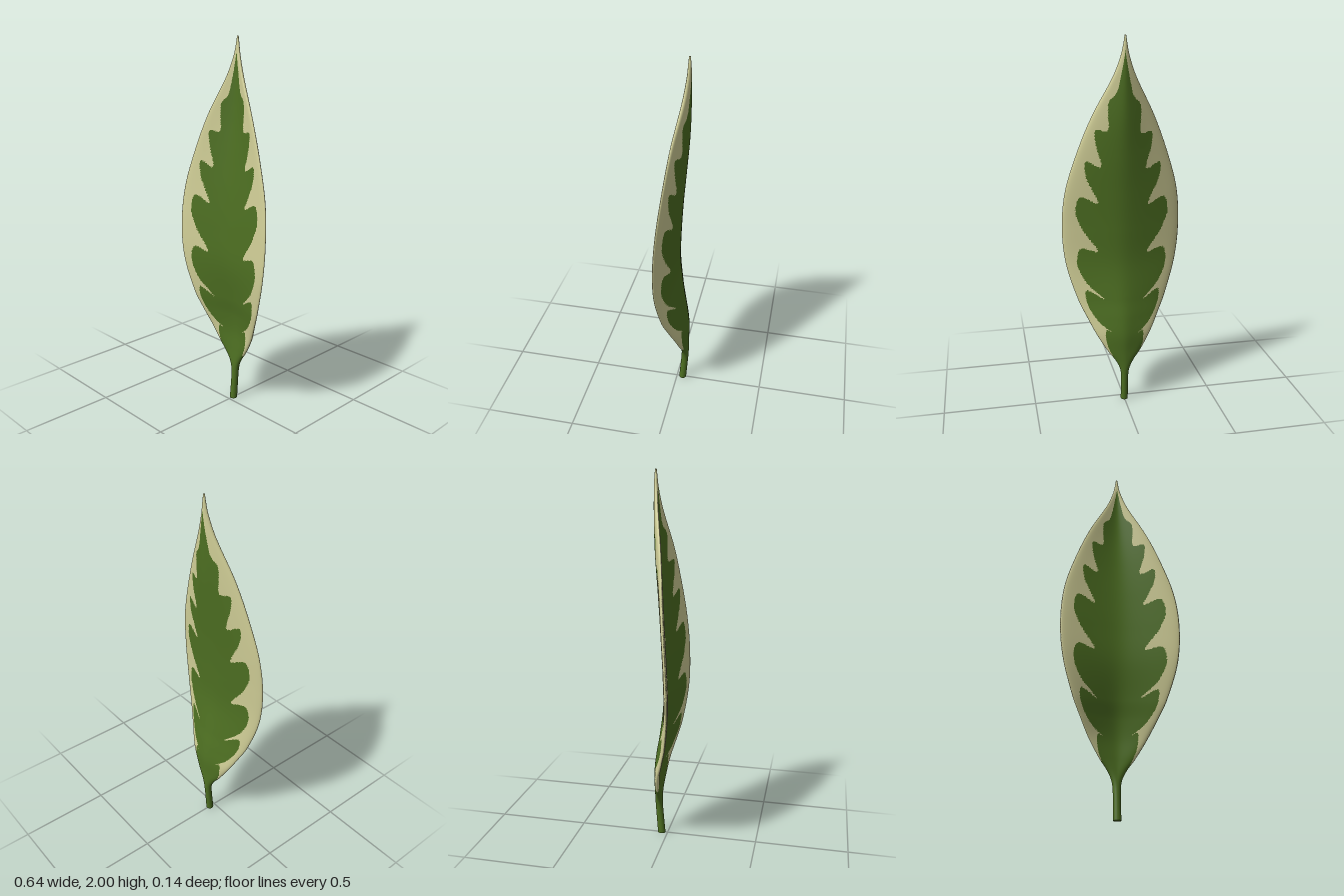
import * as THREE from 'three';

// Cross-sections up the leaf: y, half width, midrib z, forward rise of the edge, half thickness
const SECTIONS = [
  [0.00, 0.020, -0.034, 0.000, 0.021],
  [0.15, 0.020, -0.046, 0.000, 0.020],
  [0.20, 0.028, -0.049, 0.002, 0.020],
  [0.25, 0.053, -0.051, 0.006, 0.018],
  [0.30, 0.090, -0.053, 0.014, 0.016],
  [0.40, 0.150, -0.056, 0.034, 0.014],
  [0.50, 0.200, -0.046, 0.053, 0.012],
  [0.60, 0.245, -0.028, 0.061, 0.012],
  [0.80, 0.303, -0.003, 0.061, 0.012],
  [1.00, 0.320, -0.006, 0.064, 0.012],
  [1.20, 0.302, -0.018, 0.062, 0.012],
  [1.40, 0.243, -0.036, 0.059, 0.012],
  [1.60, 0.163, -0.053, 0.050, 0.012],
  [1.80, 0.060, -0.060, 0.019, 0.011],
  [1.90, 0.023, -0.060, 0.006, 0.010],
  [1.96, 0.010, -0.060, 0.001, 0.008],
  [2.00, 0.004, -0.060, 0.000, 0.004],
];

// Edge of the green area on one half, from the tip down: x, y (lobes with curled tips)
const LOBES = [
  [0, 1.93], [0.02, 1.82], [0.045, 1.72], [0.08, 1.68], [0.085, 1.62], [0.088, 1.53],
  [0.145, 1.535], [0.145, 1.46], [0.12, 1.34],
  [0.195, 1.37], [0.195, 1.29], [0.165, 1.22], [0.135, 1.145],
  [0.225, 1.18], [0.25, 1.10], [0.21, 0.99], [0.135, 0.875],
  [0.225, 0.89], [0.245, 0.81], [0.20, 0.70], [0.11, 0.61],
  [0.20, 0.655], [0.195, 0.575], [0.135, 0.475], [0.075, 0.425],
  [0.10, 0.435], [0.10, 0.36], [0.065, 0.27],
];

// Smooth interpolation through the sections
function sectionAt(y) {
  let i = 0;
  while (i < SECTIONS.length - 2 && y > SECTIONS[i + 1][0]) i++;
  const a = SECTIONS[i], b = SECTIONS[i + 1];
  const p = SECTIONS[Math.max(i - 1, 0)], n = SECTIONS[Math.min(i + 2, SECTIONS.length - 1)];
  const d = b[0] - a[0], t = (y - a[0]) / d;
  return a.map((v, k) => {
    const m0 = (b[k] - p[k]) / (b[0] - p[0]) * d;
    const m1 = (n[k] - a[k]) / (n[0] - a[0]) * d;
    const t2 = t * t, t3 = t2 * t;
    return (2 * t3 - 3 * t2 + 1) * v + (t3 - 2 * t2 + t) * m0
      + (3 * t2 - 2 * t3) * b[k] + (t3 - t2) * m1;
  });
}

const lobeCurve = new THREE.CatmullRomCurve3(
  LOBES.map(([x, y]) => new THREE.Vector3(x, y, 0)), false, 'centripetal');
const outline = [...lobeCurve.getPoints(160), new THREE.Vector3(-0.1, 0.2, 0), new THREE.Vector3(-0.1, 1.93, 0)];

// Point-in-polygon test; the left and right lobes are slightly staggered
function isGreen(x, y) {
  if (y < 0.275) return true;
  const px = Math.abs(x), py = x < 0 ? y + 0.015 : y;
  let inside = false;
  for (let i = 0, j = outline.length - 1; i < outline.length; j = i++) {
    const a = outline[i], b = outline[j];
    if ((a.y > py) !== (b.y > py) && px < (b.x - a.x) * (py - a.y) / (b.y - a.y) + a.x) inside = !inside;
  }
  return inside;
}

// Closed skin of front and back, sorted into green and cream faces
function bladeGeometry(rows, cols) {
  const pos = [], green = [], cream = [], ring = cols * 2;
  for (let i = 0; i <= rows; i++) {
    const y = 2 * i / rows;
    const [, w, mid, rise, thick] = sectionAt(y);
    const power = 2 + 8 * THREE.MathUtils.smoothstep(y, 0.18, 0.5) * (1 - THREE.MathUtils.smoothstep(y, 1.75, 1.95));
    for (let j = 0; j < ring; j++) {
      const a = j <= cols ? 2 * j / cols - 1 : 3 - 2 * j / cols;
      const u = 0.55 * a + 0.45 * Math.sin(a * Math.PI / 2);
      const fold = (Math.sqrt(u * u + 0.04) - 0.2) / (Math.sqrt(1.04) - 0.2);
      const h = thick * Math.sqrt(Math.max(0, 1 - Math.abs(u) ** power));
      pos.push(u * w, y, mid + rise * fold + (j <= cols ? h : -h));
    }
  }
  const addFace = (...f) => {
    const x = f.reduce((s, v) => s + pos[v * 3], 0) / 3;
    const y = f.reduce((s, v) => s + pos[v * 3 + 1], 0) / 3;
    (isGreen(x, y) ? green : cream).push(...f);
  };
  for (let i = 0; i < rows; i++) {
    for (let j = 0; j < ring; j++) {
      const a = i * ring + j, b = i * ring + (j + 1) % ring;
      addFace(a, b, b + ring);
      addFace(a, b + ring, a + ring);
    }
  }
  // Close the tip
  const last = rows * ring;
  for (let j = 1; j < ring - 1; j++) cream.push(last, last + j, last + j + 1);

  const geo = new THREE.BufferGeometry();
  geo.setAttribute('position', new THREE.Float32BufferAttribute(pos, 3));
  geo.setIndex([...green, ...cream]);
  geo.addGroup(0, green.length, 0);
  geo.addGroup(green.length, cream.length, 1);
  geo.computeVertexNormals();
  return geo;
}

export function createModel() {
  const group = new THREE.Group();
  group.name = 'variegatedLeaf';
  const leafGreen = new THREE.MeshStandardMaterial({ color: 0x4e7022 });
  leafGreen.name = 'leafGreen';
  const marginCream = new THREE.MeshStandardMaterial({ color: 0xd2d098 });
  marginCream.name = 'marginCream';

  const blade = new THREE.Mesh(bladeGeometry(280, 80), [leafGreen, marginCream]);
  blade.name = 'leafBladeAndStem';
  group.add(blade);

  // Flat cut at the foot of the stem
  const cut = new THREE.Mesh(new THREE.CircleGeometry(0.0205, 32).rotateX(Math.PI / 2), leafGreen);
  cut.name = 'stemCut';
  cut.position.z = SECTIONS[0][2];
  group.add(cut);
  return group;
}
